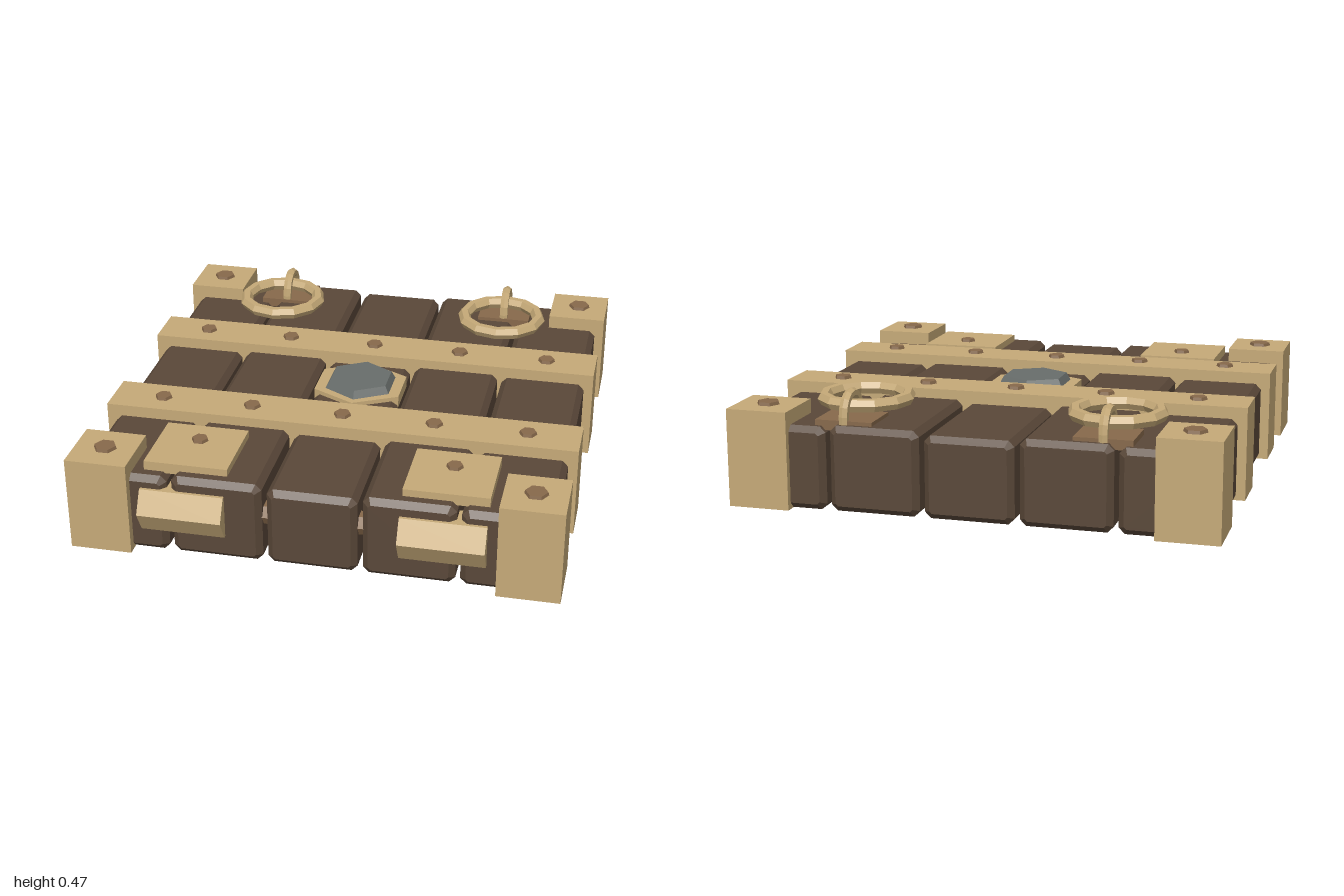
import * as THREE from 'three';

const mat = (name, color) => {
  const m = new THREE.MeshStandardMaterial({ color, flatShading: true });
  m.name = name;
  return m;
};

export function createModel() {
  const model = new THREE.Group();
  model.name = 'lid';
  const wood = mat('dark wood', 0x5a4839);
  const brass = mat('brass', 0xc6aa78);
  const bronze = mat('bronze', 0x87694b);
  const stone = mat('grey stone', 0x686d6b);

  const add = (name, geometry, material, x = 0, y = 0, z = 0) => {
    const mesh = new THREE.Mesh(geometry, material);
    mesh.name = name;
    mesh.position.set(x, y, z);
    model.add(mesh);
    return mesh;
  };
  // Box given by its minimum and maximum corners
  const block = (name, material, [x0, y0, z0], [x1, y1, z1]) =>
    add(name, new THREE.BoxGeometry(x1 - x0, y1 - y0, z1 - z0), material,
      (x0 + x1) / 2, (y0 + y1) / 2, (z0 + z1) / 2);
  // Hexagonal prism standing on y, with corners pointing along x
  const bolt = (name, x, z, r, y0, y1) => {
    const g = new THREE.CylinderGeometry(r * 0.88, r, y1 - y0, 6).rotateY(Math.PI / 6);
    add(name, g, bronze, x, (y0 + y1) / 2, z);
  };

  // Plank chamfered on every edge
  const plank = (x, w, h) => {
    const c = 0.024, a = w / 2, y0 = 0.002;
    const shape = new THREE.Shape([
      [-a + c, y0], [a - c, y0], [a, y0 + c], [a, h - c],
      [a - c, h], [-a + c, h], [-a, h - c], [-a, y0 + c],
    ].map(([u, v]) => new THREE.Vector2(u, v)));
    const g = new THREE.ExtrudeGeometry(shape, {
      depth: 1.91 - 2 * c, bevelEnabled: true, bevelSegments: 1,
      bevelThickness: c, bevelSize: c, bevelOffset: -c,
    });
    add('plank', g, wood, x, 0, -0.975 + c);
  };
  plank(0, 0.36, 0.332);
  for (const s of [-1, 1]) {
    plank(s * 0.383, 0.365, 0.345);
    plank(s * 0.763, 0.357, 0.337);
  }

  // Cross straps with rows of bolts
  for (const [z0, z1] of [[-0.405, -0.2], [0.26, 0.47]]) {
    block('strap', brass, [-0.98, 0.004, z0], [0.98, 0.385, z1]);
    for (let i = -2; i <= 2; i++) bolt('strapBolt', i * 0.383, (z0 + z1) / 2, 0.038, 0.38, 0.398);
  }

  // Rod through the planks behind the front edge
  add('crossRod', new THREE.CylinderGeometry(0.046, 0.046, 1, 6).rotateZ(Math.PI / 2),
    bronze, 0, 0.198, 0.868);

  // Central hexagonal mount and faceted stone
  const mount = add('gemMount', new THREE.CylinderGeometry(0.19, 0.19, 0.05, 6), brass, 0, 0.325, 0);
  mount.scale.x = 1.11;
  add('gem', new THREE.CylinderGeometry(0.14, 0.16, 0.035, 6), stone, 0, 0.3645, 0);

  for (const s of [-1, 1]) {
    // Corner blocks
    for (const [z0, z1, zb] of [[-1, -0.745, -0.875], [0.71, 0.97, 0.84]]) {
      const xs = [s * 0.73, s * 0.98].sort((a, b) => a - b);
      block('cornerBlock', brass, [xs[0], 0, z0], [xs[1], 0.395, z1]);
      bolt('cornerBolt', s * 0.855, zb, 0.05, 0.385, 0.408);
    }

    // Front hinge: top plate, bolt and hexagonal barrel
    const x = s * 0.517;
    block('hingePlate', brass, [x - 0.17, 0.33, 0.555], [x + 0.17, 0.375, 0.877]);
    bolt('hingeBolt', x, 0.67, 0.036, 0.37, 0.388);
    add('hingeBarrel', new THREE.CylinderGeometry(0.104, 0.104, 0.34, 6).rotateZ(Math.PI / 2),
      brass, x, 0.198, 0.896);

    // Pull ring with its staple and base plate
    block('ringPlate', bronze, [x - 0.117, 0.32, -0.935], [x + 0.117, 0.36, -0.745]);
    add('pullRing', new THREE.TorusGeometry(0.171, 0.028, 6, 12).rotateX(Math.PI / 2),
      brass, x, 0.402, -0.673);
    add('staple', new THREE.TorusGeometry(0.08, 0.02, 6, 8, Math.PI).rotateY(Math.PI / 2),
      brass, x, 0.375, -0.845);
    for (const e of [-1, 1]) {
      add('stapleLeg', new THREE.CylinderGeometry(0.02, 0.02, 0.03, 6), brass, x, 0.36, -0.845 + e * 0.08);
    }
  }
  return model;
}
